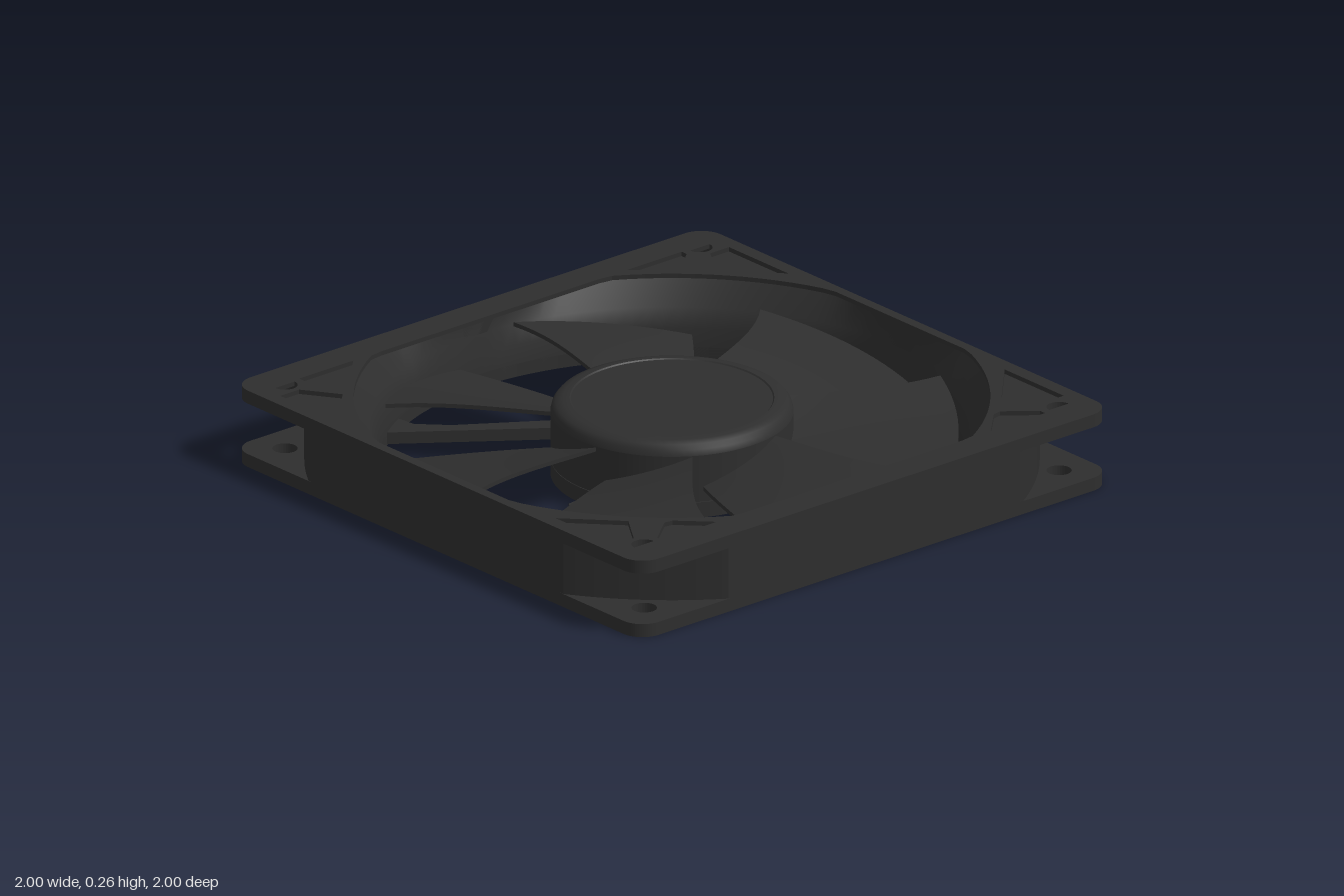
import * as THREE from 'three';

const DARK = 0x2e2e2e;
const mat = (color = DARK, opts = {}) => {
  const m = new THREE.MeshStandardMaterial({ color });
  return Object.assign(m, opts);
};
const clamp = (v, a) => Math.max(-a, Math.min(a, v));

// circle cut flat at |x| = cx and |y| = cy
function clippedCircle(r, cx = 9, cy = 9, n = 120) {
  const pts = [];
  for (let i = 0; i < n; i++) {
    const a = (i / n) * Math.PI * 2;
    pts.push(new THREE.Vector2(clamp(r * Math.cos(a), cx), clamp(r * Math.sin(a), cy)));
  }
  return pts;
}

// square outline with rounded corners
function roundedSquare(h, r) {
  const s = new THREE.Shape();
  [[1, 1], [-1, 1], [-1, -1], [1, -1]].forEach(([x, y], i) =>
    s.absarc(x * (h - r), y * (h - r), r, i * Math.PI / 2, (i + 1) * Math.PI / 2, false));
  s.closePath();
  return s;
}

// runs fn for the four corners as sign pairs
function corners(fn) {
  for (const sx of [-1, 1]) for (const sz of [-1, 1]) fn(sx, sz);
}

export function createModel() {
  const fan = new THREE.Group();
  const add = (name, geo, material = mat(), parent = fan) => {
    const m = new THREE.Mesh(geo, material);
    m.name = name;
    parent.add(m);
    return m;
  };

  // flat slab between two heights
  const slab = (name, shape, y0, y1) => {
    const g = new THREE.ExtrudeGeometry(shape, { depth: y1 - y0, bevelEnabled: false, curveSegments: 10 });
    g.rotateX(-Math.PI / 2).translate(0, y0, 0);
    return add(name, g);
  };
  const hole = (shape, pts) => shape.holes.push(new THREE.Path(pts));
  const screwHoles = (shape, flat = 1) => corners((sx, sz) =>
    hole(shape, clippedCircle(0.041, 9, 9, 32)
      .filter(p => 0.88 + p.y <= flat)
      .map(p => new THREE.Vector2(sx * (0.878 + p.x), sz * (0.88 + p.y)))));

  // bottom flange
  const bottom = roundedSquare(1, 0.08);
  hole(bottom, clippedCircle(0.94));
  screwHoles(bottom);
  slab('bottomFlange', bottom, 0, 0.045);

  // body between the flanges, cut round at the corners
  const body = new THREE.Shape(clippedCircle(1.178, 1, 1, 360));
  hole(body, clippedCircle(1.02, 0.965, 0.965));
  slab('frameBody', body, 0.045, 0.22);

  // top flange: lower layer, then the top layer with corner pockets
  const lower = roundedSquare(1, 0.08);
  hole(lower, clippedCircle(1.02, 0.965, 0.965));
  screwHoles(lower);
  slab('topFlange', lower, 0.22, 0.25);

  const upper = roundedSquare(1, 0.08);
  hole(upper, clippedCircle(1.02, 0.965, 0.89));
  screwHoles(upper, 0.887);
  const pockets = [
    [[0.95, 0.82], [0.87, 0.82], [0.79, 0.7], [0.95, 0.53]],
    [[0.81, 0.89], [0.81, 0.865], [0.71, 0.785], [0.68, 0.79], [0.58, 0.89]],
  ];
  corners((sx, sz) => pockets.forEach(p =>
    hole(upper, p.map(([x, z]) => new THREE.Vector2(sx * x, sz * z)))));
  slab('topFlangeFace', upper, 0.25, 0.265);

  // flared air duct
  const duct = new THREE.LatheGeometry(
    [[0.94, 0.0], [0.94, 0.11], [0.97, 0.17], [1.02, 0.25]].map(p => new THREE.Vector2(...p)), 120);
  const dp = duct.attributes.position;
  for (let i = 0; i < dp.count; i++) {
    dp.setX(i, clamp(dp.getX(i), 0.965));
    dp.setZ(i, clamp(dp.getZ(i), 0.965));
  }
  duct.computeVertexNormals();
  add('airDuct', duct, mat(DARK, { side: THREE.DoubleSide }));

  // motor base and its four slanted struts: bent root, thin arm, flared foot
  add('motorBase', new THREE.CylinderGeometry(0.39, 0.39, 0.053, 64).translate(0, 0.0265, 0));
  const strutOutline = [[0.19, 0.25], [0.277, 0.293], [0.34, 0.36], [0.68, 0.345], [0.8, 0.365],
    [0.86, 0.43], [0.93, 0.3], [0.34, 0.295], [0.293, 0.255], [0.24, 0.2]];
  const strutGeo = new THREE.ExtrudeGeometry(
    new THREE.Shape(strutOutline.map(([s, d]) => new THREE.Vector2(s, -d))),
    { depth: 0.04, bevelEnabled: false });
  strutGeo.rotateX(-Math.PI / 2).translate(0, 0.004, 0);
  for (let i = 0; i < 4; i++) {
    const strut = add('strut', strutGeo);
    strut.rotation.y = -0.63 - i * Math.PI / 2;
    // coloured leads sunk into one strut
    if (i === 1) {
      [0x208040, 0x2040b0, 0xcc2020].forEach((c, k) => {
        const lead = new THREE.CylinderGeometry(0.008, 0.008, 0.1, 8).rotateZ(Math.PI / 2);
        add('wire', lead, mat(c), strut).position.set(0.5, 0.038, 0.308 + k * 0.018);
      });
    }
  }

  // rotor hub with rounded rim and shallow dished cap
  const hubProfile = [[0, 0.055], [0.39, 0.055], [0.39, 0.055], [0.39, 0.215], [0.39, 0.215],
    [0.385, 0.235], [0.373, 0.25], [0.35, 0.258], [0.328, 0.26], [0.328, 0.26],
    [0.324, 0.256], [0.324, 0.256], [0, 0.256]];
  add('rotorHub', new THREE.LatheGeometry(hubProfile.map(p => new THREE.Vector2(...p)), 72));

  // seven pitched blades: a thin box bent by radius and angle
  const curve = (a, b, c, u) => a * (1 - u) * (1 - 2 * u) + 4 * b * u * (1 - u) + c * u * (2 * u - 1);
  const deg = Math.PI / 180;
  const blade = new THREE.BoxGeometry(1, 1, 1, 12, 1, 14);
  const bp = blade.attributes.position;
  for (let i = 0; i < bp.count; i++) {
    const u = bp.getX(i) + 0.5, v = bp.getZ(i) + 0.5;
    const r = 0.36 + u * 0.56;
    const a = deg * THREE.MathUtils.lerp(curve(-137, -132.5, -134, u), curve(-91, -94, -96.5, u), v);
    const y = 0.205 - 0.105 * v + bp.getY(i) * 0.014;
    bp.setXYZ(i, r * Math.cos(a), y, r * Math.sin(a));
  }
  blade.computeVertexNormals();
  const blades = new THREE.Group();
  blades.name = 'blades';
  blades.position.set(-0.018, 0, 0.018);
  fan.add(blades);
  for (let i = 0; i < 7; i++) add('blade', blade, mat(), blades).rotation.y = -i * Math.PI * 2 / 7;

  return fan;
}
